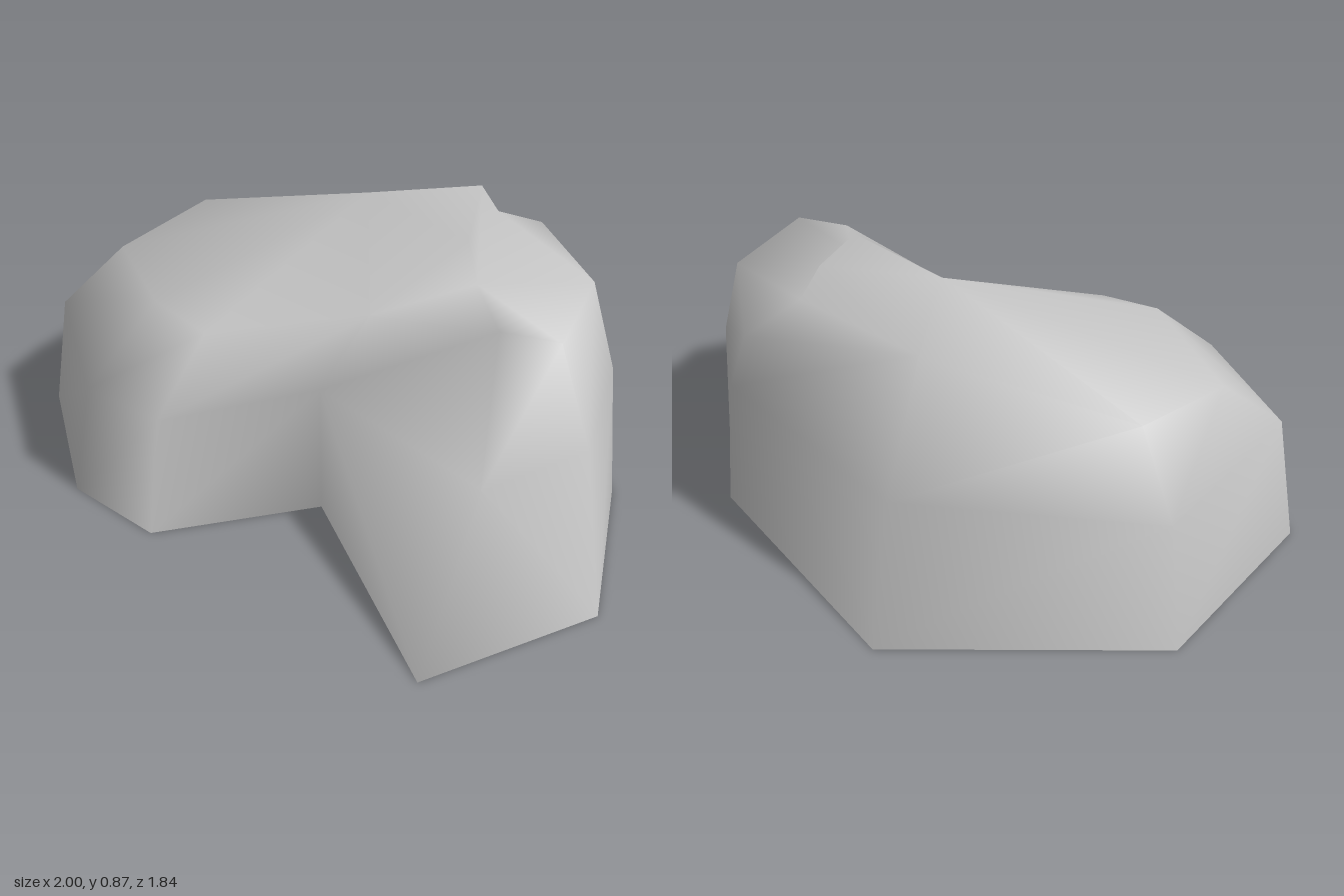
import * as THREE from 'three';

// Three horizontal rings of the hollow boulder, [x, y, z], clockwise from above
const base = [
  [-1, 0, 0.03], [-0.8, 0, -0.62], [0, 0, -0.92], [0.74, 0, -0.43], [0.94, 0, -0.09],
  [1, 0, 0.5], [0.59, 0, 0.92], [0.09, 0, 0.3], [-0.36, 0, 0.6], [-0.68, 0, 0.48],
];
const shoulder = [
  [-0.93, 0.4, 0.03], [-0.75, 0.4, -0.59], [0, 0.42, -0.79], [0.63, 0.5, -0.52], [0.89, 0.44, -0.12],
  [0.9, 0.44, 0.33], [0.66, 0.44, 0.61], [0.05, 0.37, 0.2], [-0.33, 0.4, 0.56], [-0.62, 0.38, 0.45],
];
const rim = [
  [-0.77, 0.57, -0.11], [-0.62, 0.61, -0.46], [0.02, 0.72, -0.5], [0.56, 0.69, -0.53], [0.8, 0.71, -0.15],
  [0.78, 0.71, 0.23], [0.6, 0.71, 0.23], [0.18, 0.62, 0.12], [-0.28, 0.57, 0.31], [-0.48, 0.6, 0.23],
];
// Summit points: crown, peak, ledge edge, ledge foot, ledge back
const summit = [
  [0.05, 0.84, -0.25], [0.39, 0.87, -0.36], [0.43, 0.83, -0.05], [0.48, 0.73, 0.02], [0.44, 0.77, -0.4],
];

function boulderGeometry() {
  const n = base.length;
  const index = [];
  // Side walls between neighbouring rings; the front spur is split along the other diagonal
  for (let ring = 0; ring < 2; ring++) {
    for (let i = 0; i < n; i++) {
      const a = ring * n + i;
      const b = ring * n + ((i + 1) % n);
      if (a === 5 || a === 6) index.push(b, a, b + n, a, a + n, b + n);
      else index.push(b, a, a + n, b, a + n, b + n);
    }
  }
  // Crown: 0-9 are rim points, letters are summit points
  const faces = '01A 12A 2BA 23E 2EB BED BDC ABC 34E E4D 45D 56D 67D 7CD 7AC 8A7 9A8 0A9';
  const id = (c) => 2 * n + (c >= 'A' ? n + c.charCodeAt(0) - 65 : Number(c));
  for (const f of faces.split(' ')) index.push(id(f[0]), id(f[2]), id(f[1]));

  const g = new THREE.BufferGeometry();
  const points = [...base, ...shoulder, ...rim, ...summit].flat();
  g.setAttribute('position', new THREE.Float32BufferAttribute(points, 3));
  g.setIndex(index);
  g.computeVertexNormals();
  return g;
}

export function createModel() {
  const group = new THREE.Group();
  group.name = 'rock';
  // The underside is open, so the inside shows as well
  const stone = new THREE.MeshStandardMaterial({ color: 0xc4c4c4, side: THREE.DoubleSide });
  stone.name = 'stone grey';
  const boulder = new THREE.Mesh(boulderGeometry(), stone);
  boulder.name = 'boulder';
  group.add(boulder);
  return group;
}
